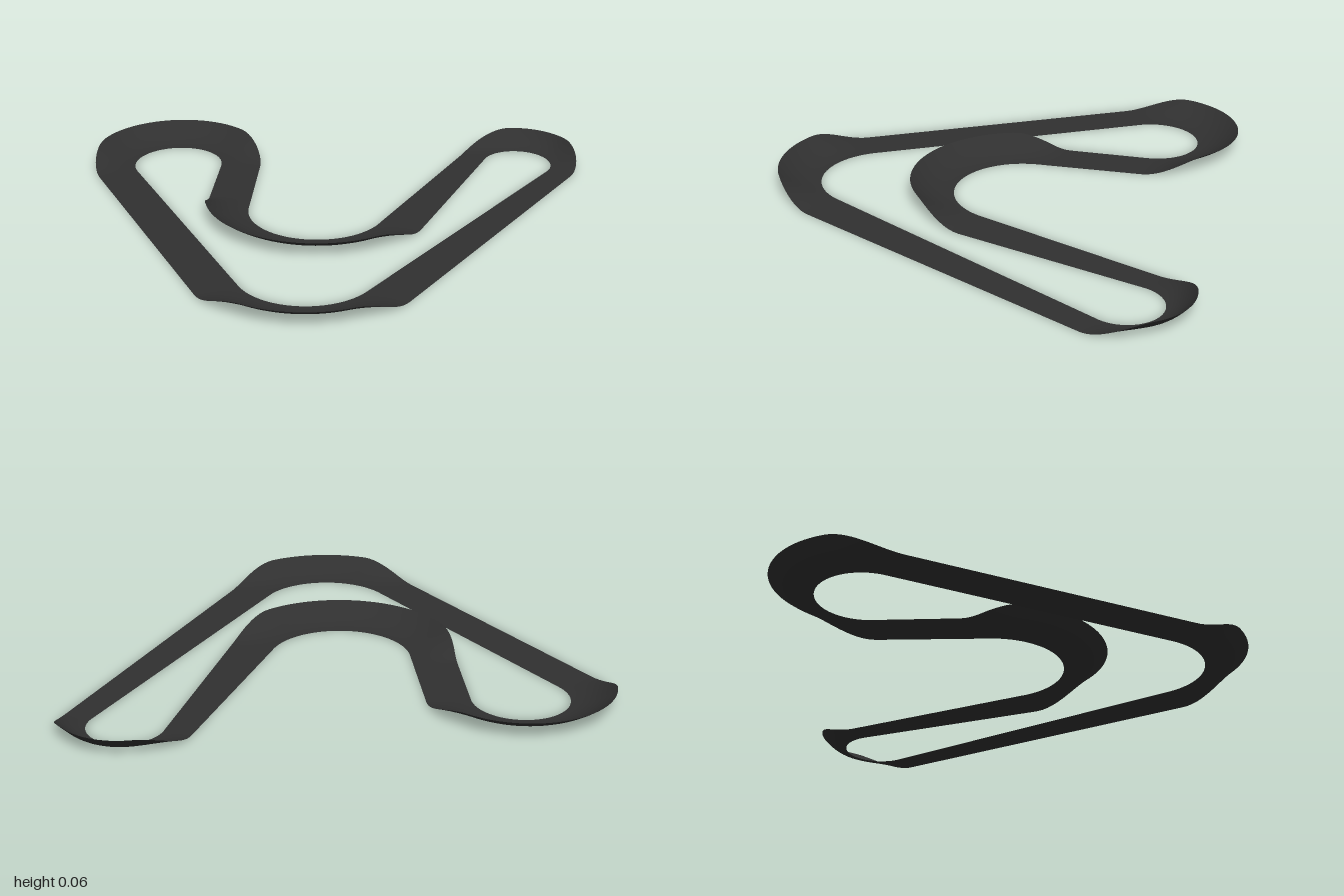
import * as THREE from 'three';

const BANK = 0.065;   // height of the raised edge in the bends
const RAMP = 0.21;    // distance over which the banking builds up
const ACROSS = 10;    // strips across the road

const smooth = (t) => THREE.MathUtils.smoothstep(t, 0, 1);

// One row across the road: edge a, edge b and the raised height of each edge
const row = (ax, az, bx, bz, ha, hb) => ({ ax, az, bx, bz, ha, hb });

// Banked bend about (cx, cz); angles in degrees, lead = straight banked run-out in -z
function bend({ cx, cz, inner, outer, from, to, lead = 0, reversed = false }) {
  const rows = [];
  const sweep = THREE.MathUtils.degToRad(to - from);
  const arc = Math.abs(sweep) * (inner + outer) / 2;
  const total = arc + lead;
  const steps = 56;
  for (let i = 0; i <= steps; i++) {
    const s = total * i / steps;
    const angle = THREE.MathUtils.degToRad(from) + sweep * Math.min(s / arc, 1);
    const shift = Math.max(s - arc, 0);
    const c = Math.cos(angle), n = Math.sin(angle);
    const h = BANK * smooth(Math.min(s, total - s) / RAMP);
    const o = [cx + outer * c, cz + outer * n - shift];
    const k = [cx + inner * c, cz + inner * n - shift];
    rows.push(reversed ? row(...k, ...o, 0, h) : row(...o, ...k, h, 0));
  }
  return rows;
}

// Closed ribbon through all rows, with a dished cross-section
function ribbon(rows) {
  const positions = [], indices = [];
  for (const r of rows) {
    for (let j = 0; j <= ACROSS; j++) {
      const t = j / ACROSS;
      positions.push(
        THREE.MathUtils.lerp(r.ax, r.bx, t),
        r.ha * (1 - t) ** 2 + r.hb * t ** 2,
        THREE.MathUtils.lerp(r.az, r.bz, t));
    }
  }
  const w = ACROSS + 1;
  for (let i = 0; i < rows.length; i++) {
    const p = i * w, q = ((i + 1) % rows.length) * w;
    for (let j = 0; j < ACROSS; j++) {
      indices.push(p + j, q + j, p + j + 1, q + j, q + j + 1, p + j + 1);
    }
  }
  const geometry = new THREE.BufferGeometry();
  geometry.setAttribute('position', new THREE.Float32BufferAttribute(positions, 3));
  geometry.setIndex(indices);
  geometry.computeVertexNormals();
  return geometry;
}

export function createModel() {
  const asphalt = new THREE.MeshStandardMaterial({ color: 0x303030, side: THREE.DoubleSide });
  asphalt.name = 'asphalt';

  // Four banked bends; flat straights join one to the next
  const rows = [
    ...bend({ cx: -0.04, cz: 0.438, inner: 0.265, outer: 0.432, from: 151.4, to: 28.6 }),
    ...bend({ cx: 0.755, cz: -0.63, inner: 0.14, outer: 0.245, from: 28.6, to: -159 }),
    ...bend({ cx: -0.043, cz: -0.105, inner: 0.27, outer: 0.438, from: 21, to: 180, lead: 0.1, reversed: true }),
    ...bend({ cx: -0.657, cz: -0.525, inner: 0.18, outer: 0.343, from: 0, to: -208.6 }),
  ];

  const group = new THREE.Group();
  group.name = 'raceTrack';
  const road = new THREE.Mesh(ribbon(rows), asphalt);
  road.name = 'roadSurface';
  group.add(road);
  return group;
}
